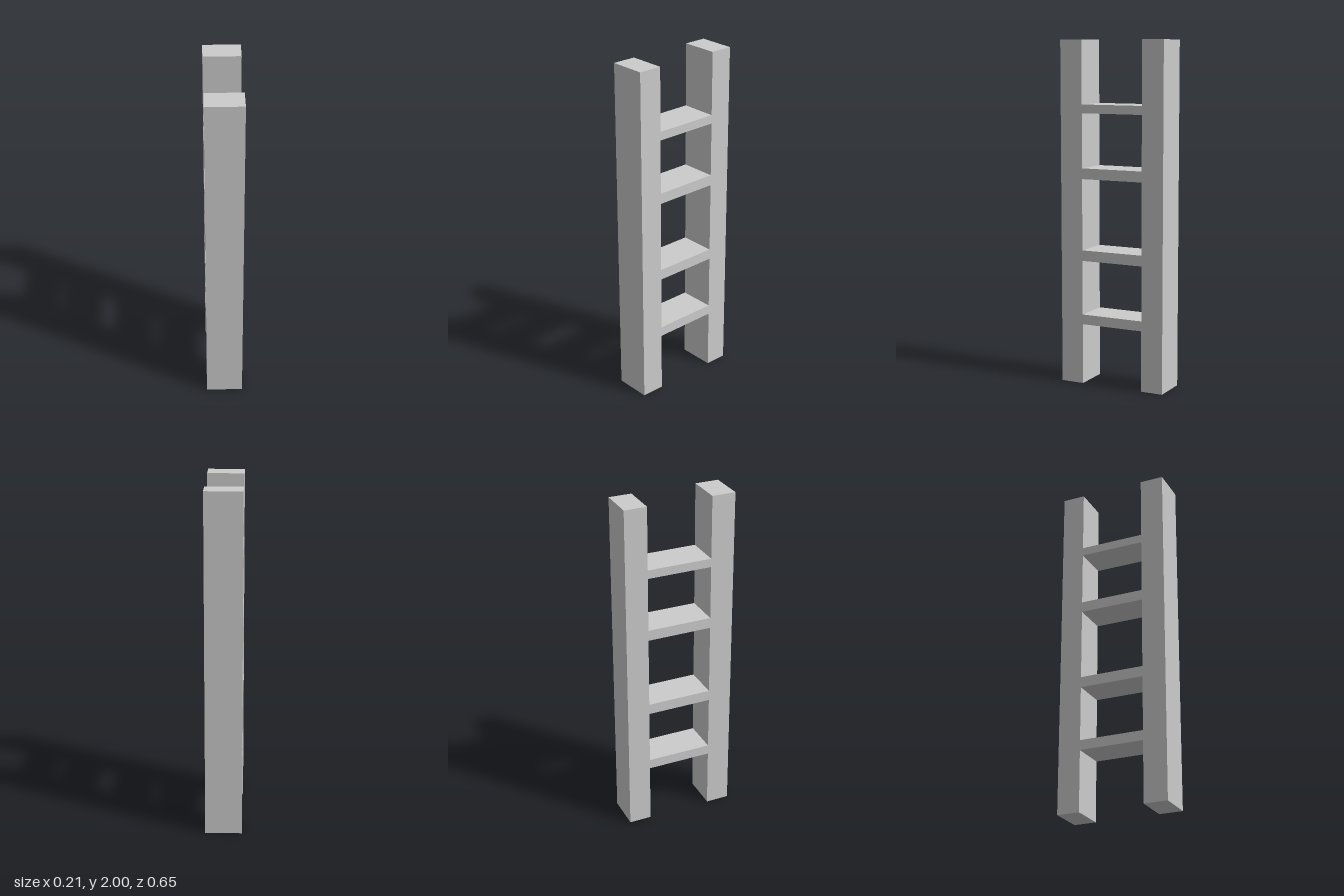
import * as THREE from 'three';

const WIDTH = 0.212;

export function createModel() {
  const model = new THREE.Group();
  model.name = 'ladder';
  const material = new THREE.MeshStandardMaterial({ color: 0xcccccc, flatShading: true });

  // Full-width block spanning the given height and depth ranges
  function addBlock(name, y0, y1, z0, z1) {
    const mesh = new THREE.Mesh(new THREE.BoxGeometry(WIDTH, y1 - y0, z1 - z0), material);
    mesh.position.set(0, (y0 + y1) / 2, (z0 + z1) / 2);
    mesh.name = name;
    model.add(mesh);
  }

  // Upright posts
  const frontInner = 0.187, backInner = -0.193, outer = 0.325;
  addBlock('frontPost', 0, 2, frontInner, outer);
  addBlock('backPost', 0, 2, -outer, backInner);

  // Flat rungs, flush with the sides of the posts: [bottom, top]
  const rungs = [[0.355, 0.413], [0.731, 0.793], [1.208, 1.27], [1.585, 1.635]];
  rungs.forEach(([y0, y1], i) => addBlock(`rung${i + 1}`, y0, y1, backInner, frontInner));

  return model;
}
